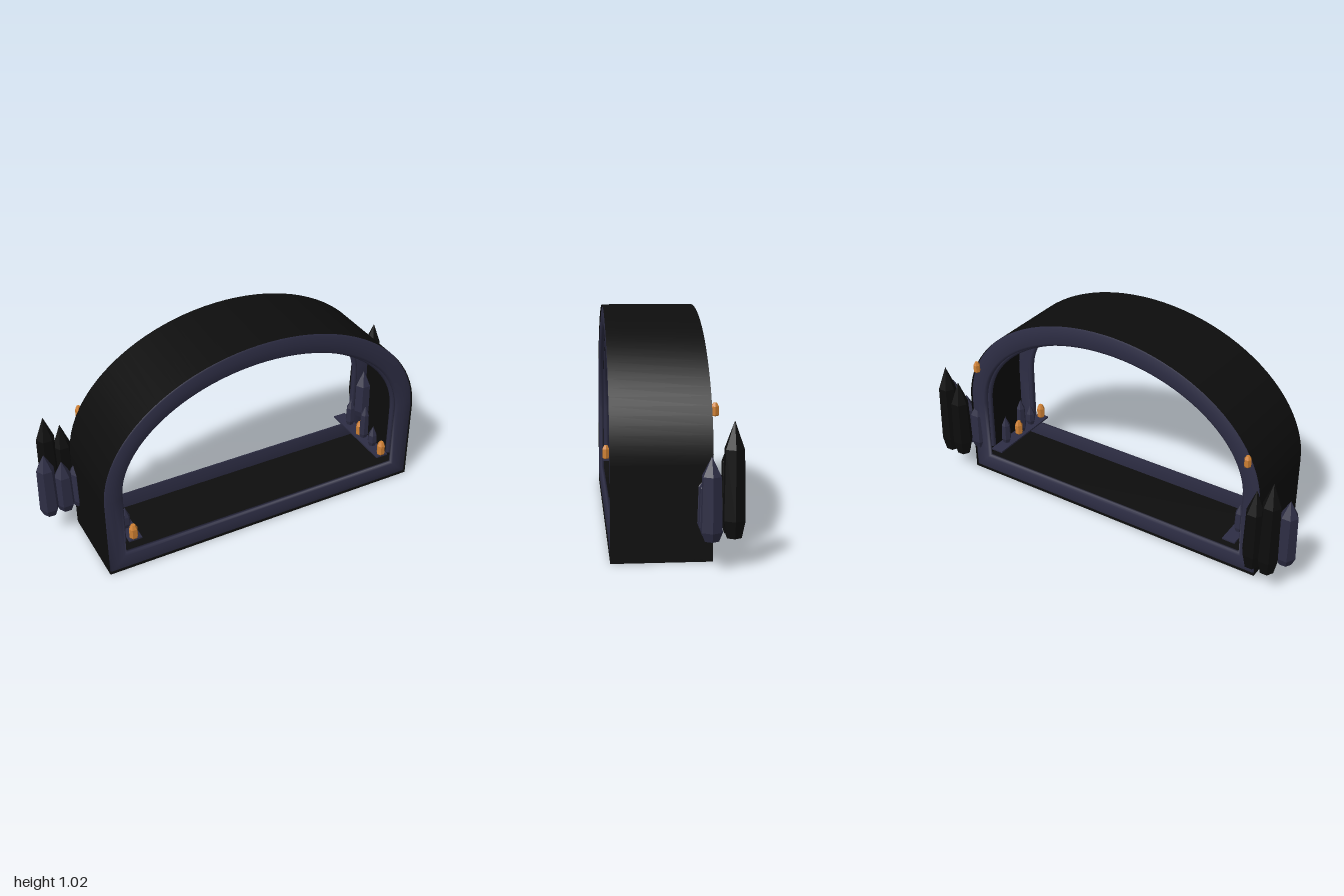
import * as THREE from 'three';

const FRONT = 0.27, BACK = -0.155, SPRING = 0.41;

// Arch outline: straight legs from base up to the spring line, half ellipse above
function archPoints(halfWidth, top, base, n = 48) {
  const pts = [new THREE.Vector2(halfWidth, base)];
  for (let i = 0; i <= n; i++) {
    const a = (i / n) * Math.PI;
    pts.push(new THREE.Vector2(halfWidth * Math.cos(a), SPRING + (top - SPRING) * Math.sin(a)));
  }
  pts.push(new THREE.Vector2(-halfWidth, base));
  return pts;
}

// Skin a grid of points, given as rings, each closed around on itself when wrapped
function skin(rings, wrapRings, wrapSection) {
  const n = rings[0].length, m = rings.length, index = [];
  for (let i = 0; i < (wrapRings ? m : m - 1); i++) {
    for (let j = 0; j < (wrapSection ? n : n - 1); j++) {
      const i2 = (i + 1) % m, j2 = (j + 1) % n;
      const a = i * n + j, b = i2 * n + j, c = i2 * n + j2, d = i * n + j2;
      index.push(a, b, d, b, c, d);
    }
  }
  const g = new THREE.BufferGeometry();
  g.setAttribute('position', new THREE.Float32BufferAttribute(rings.flat(2), 3));
  g.setIndex(index);
  g.computeVertexNormals();
  return g;
}

export function createModel() {
  const group = new THREE.Group();
  const mat = (name, color, extra = {}) => {
    const m = new THREE.MeshStandardMaterial({ color, ...extra });
    m.name = name;
    return m;
  };
  const black = mat('black', 0x0d0d0d, { side: THREE.DoubleSide });
  const navy = mat('dark navy', 0x2d2d44, { side: THREE.DoubleSide });
  const navyFlat = navy.clone();
  navyFlat.flatShading = true;
  const blackFlat = black.clone();
  blackFlat.flatShading = true;
  const copper = mat('copper', 0xcd7f32, { flatShading: true });

  const add = (name, geometry, material, x = 0, y = 0, z = 0) => {
    const mesh = new THREE.Mesh(geometry, material);
    mesh.name = name;
    mesh.position.set(x, y, z);
    group.add(mesh);
    return mesh;
  };

  // Thin outer shell and its floor
  const outer = archPoints(0.82, 1.02, 0);
  const inner = archPoints(0.73, 0.915, 0.09);
  add('shell', skin(outer.map(p => [[p.x, p.y, FRONT], [p.x, p.y, BACK]]), false, false), black);
  add('floor', new THREE.BoxGeometry(1.64, 0.012, FRONT - BACK), black, 0, 0.006, (FRONT + BACK) / 2);

  // Softly domed rims closing the front and back of the shell
  const section = [[0, -0.012], [0.12, -0.004], [0.5, 0], [0.88, -0.004], [1, -0.012], [1, -0.025], [0.01, -0.025]];
  for (const [name, z, s] of [['frontRim', FRONT, 1], ['backRim', BACK, -1]]) {
    const rings = outer.map((o, i) => section.map(([t, d]) => {
      const p = o.clone().lerp(inner[i], t);
      return [p.x, p.y, z + s * d];
    }));
    if (s > 0) rings.forEach(r => r.reverse());
    add(name, skin(rings, true, true), navy);
  }

  // Slim tubes lining the opening just inside each rim
  const liner = archPoints(0.73, 0.917, 0.14);
  for (const z of [FRONT - 0.04, BACK + 0.04]) {
    const path = new THREE.CatmullRomCurve3(liner.map(p => new THREE.Vector3(p.x, p.y, z)));
    add('archTube', new THREE.TubeGeometry(path, 96, 0.014, 8), navy);
  }

  // Six-sided crystal: narrow foot, wide waist, pointed tip
  const crystal = (name, x, z, base, top, r, waist, shoulder, material) => {
    const profile = [[0, base], [r * 0.68, base], [r, waist], [r * 0.88, shoulder], [0, top]];
    const g = new THREE.LatheGeometry(profile.map(p => new THREE.Vector2(...p)), 6);
    g.rotateY(Math.PI / 6 + Math.PI / 3);
    add(name, g, material, x, 0, z);
  };

  // Copper lantern: six-sided body with a tapered cap
  const lantern = (name, x, y, z, r, h) => {
    const profile = [[0, 0], [r * 0.85, 0], [r, h * 0.1], [r, h * 0.72], [r * 0.5, h], [0, h]];
    const g = new THREE.LatheGeometry(profile.map(p => new THREE.Vector2(...p)), 6);
    g.rotateY(Math.PI / 2);
    add(name, g, copper, x, y, z);
  };

  for (const s of [1, -1]) {
    // Outer crystal clusters
    for (const [x, top] of [[0.91, 0.605], [0.835, 0.54]]) {
      crystal('blackCrystal', s * x, -0.227, 0.127, top, 0.05, 0.2, top - 0.115, blackFlat);
    }
    for (const [x, top] of [[0.955, 0.47], [0.875, 0.405], [0.8, 0.4]]) {
      crystal('navyCrystal', s * x, -0.13, 0.127, top, 0.048, 0.165, top - 0.08, navyFlat);
    }

    // Shelf inside each leg with small crystals and lanterns
    add('shelf', new THREE.BoxGeometry(0.065, 0.008, 0.405), navy, s * 0.678, 0.143, 0.05);
    for (const [z, top] of [[0.15, 0.26], [0.07, 0.335], [-0.06, 0.3]]) {
      crystal('shelfCrystal', s * 0.684, z, 0.145, top, 0.025, 0.17, top - 0.05, navyFlat);
    }
    for (const z of [0.235, 0.04]) lantern('shelfLantern', s * 0.68, 0.145, z, 0.021, 0.075);

    // Small lantern on the back of the arch
    lantern('archLantern', s * 0.753, 0.6, -0.168, 0.017, 0.055);
  }
  return group;
}
